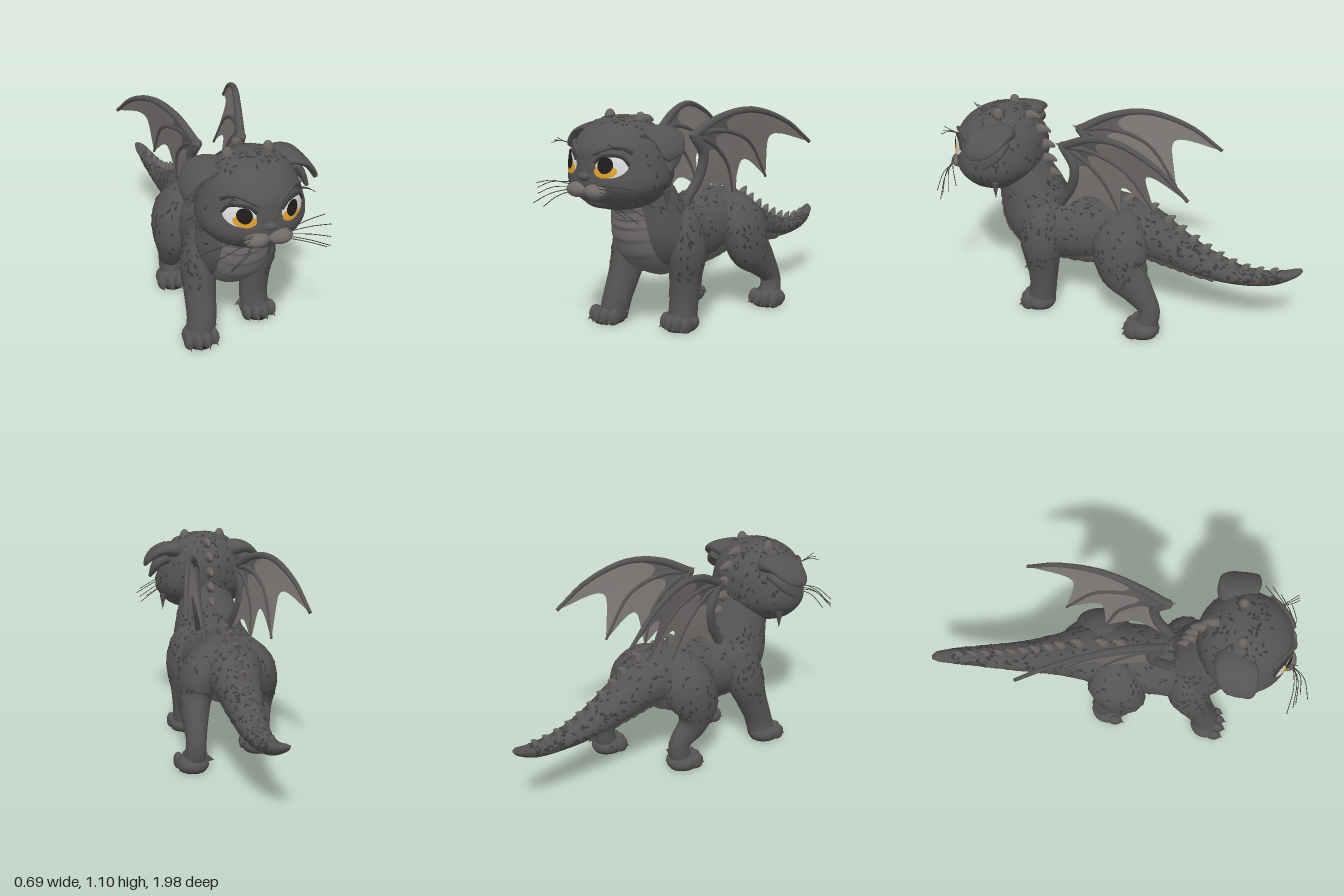
import * as THREE from 'three';
import { mergeGeometries, mergeVertices } from 'three/addons/utils/BufferGeometryUtils.js';

const V = (x, y, z) => new THREE.Vector3(x, y, z);
const PI = Math.PI;
const MID = -.011; // the trunk, head and wings sit slightly right of centre

const paint = (name, color, side = THREE.FrontSide) => {
  const m = new THREE.MeshStandardMaterial({ color, side });
  m.name = name;
  return m;
};

// Smooth surface from a rule f(u, v), u and v in 0..1
function grid(f, nu, nv) {
  const pos = [], idx = [];
  for (let i = 0; i <= nu; i++) for (let j = 0; j <= nv; j++) pos.push(...f(i / nu, j / nv, i).toArray());
  for (let i = 0; i < nu; i++) for (let j = 0; j < nv; j++) {
    const a = i * (nv + 1) + j, c = a + nv + 1;
    idx.push(a, a + 1, c, a + 1, c + 1, c);
  }
  let g = new THREE.BufferGeometry();
  g.setAttribute('position', new THREE.Float32BufferAttribute(pos, 3));
  g.setIndex(idx);
  g = mergeVertices(g, 1e-5);
  g.computeVertexNormals();
  return g;
}

// Elliptical sweep through points [x, y, z, sideRadius, otherRadius]
function sweep(pts, side = V(1, 0, 0)) {
  const path = new THREE.CatmullRomCurve3(pts.map(p => V(p[0], p[1], p[2])));
  const radii = new THREE.CatmullRomCurve3(pts.map(p => V(p[3], p[4], 0)));
  const at = (t, ang, off = 0, k = 1) => {
    const T = path.getTangent(t), r = radii.getPoint(t);
    const S = side.clone().addScaledVector(T, -side.dot(T)).normalize();
    const N = T.clone().cross(S);
    return path.getPoint(t).addScaledVector(S, k * (r.x + off) * Math.cos(ang))
      .addScaledVector(N, k * (r.y + off) * Math.sin(ang));
  };
  const geometry = (n = 24, seg = 18) => grid((u, v, i) => at(THREE.MathUtils.clamp((i - 1) / (n - 2), 0, 1),
    (v % 1) * 2 * PI, 0, i === 0 || i === n ? 0 : 1), n, seg);
  return { path, at, geometry };
}

// Head outline by height: [y, halfWidth, frontZ, backZ]
const HEAD = [[.635, .0, .66, .62], [.645, .1, .74, .57], [.68, .19, .81, .49], [.75, .252, .865, .42], [.80, .262, .872, .395],
  [.86, .25, .865, .39], [.93, .226, .862, .395], [1.0, .19, .815, .435], [1.045, .145, .75, .49], [1.072, .07, .67, .55], [1.076, 0, .62, .6]];
const headA = new THREE.CatmullRomCurve3(HEAD.map(r => V(r[0], r[1], 0)));
const headB = new THREE.CatmullRomCurve3(HEAD.map(r => V(r[2], r[3], 0)));
function headAt(t, ang) {
  const a = headA.getPoint(t), b = headB.getPoint(t);
  return V(a.y * Math.cos(ang), a.x, (b.x + b.y) / 2 - (b.x - b.y) / 2 * Math.sin(ang));
}
function solve(f) { // root of a rising function on 0..1
  let lo = 0, hi = 1;
  for (let i = 0; i < 30; i++) { const m = (lo + hi) / 2; if (f(m) < 0) lo = m; else hi = m; }
  return lo;
}
function faceZ(x, y) {
  const t = solve(k => headA.getPoint(k).x - y);
  const w = headA.getPoint(t).y, b = headB.getPoint(t);
  return (b.x + b.y) / 2 + (b.x - b.y) / 2 * Math.sqrt(Math.max(0, 1 - (x / w) ** 2));
}

export function createModel() {
  const hide = paint('charcoal hide', 0x565453), dark = paint('dark scale', 0x3c3b3a);
  const belly = paint('belly grey', 0x6e6b69), web = paint('wing membrane', 0x7a7674, THREE.DoubleSide);
  const webDark = paint('inner wing membrane', 0x5c5958, THREE.DoubleSide);
  const horn = paint('horn grey', 0x676462), white = paint('eye white', 0xdadada);
  const gold = paint('iris gold', 0xe0a02c), black = paint('pupil black', 0x1e1c1c);
  const root = new THREE.Group();
  root.name = 'wingedCat';
  const add = (geo, mat, name, parent = root) => {
    const m = new THREE.Mesh(geo, mat);
    m.name = name;
    parent.add(m);
    return m;
  };
  const group = (name, x = 0) => { const g = new THREE.Group(); g.name = name; g.position.x = x; root.add(g); return g; };
  const cone = (p, dir, r, h, mat, name, parent) => {
    const m = add(new THREE.ConeGeometry(r, h, 8).translate(0, h / 2, 0), mat, name, parent);
    m.position.copy(p);
    m.quaternion.setFromUnitVectors(V(0, 1, 0), dir.normalize());
  };
  const ball = (x, y, z, a, b, c, mat, name, parent) => {
    const g = new THREE.SphereGeometry(1, 20, 14).scale(a, b, c).translate(x, y, z), p = g.attributes.position;
    for (let i = 0; i < p.count; i++) p.setY(i, Math.max(.002, p.getY(i)));
    add(g, mat, name, parent);
  };
  const strand = (pts, r, mat, name, parent) => add(new THREE.TubeGeometry(
    new THREE.CatmullRomCurve3(pts), 10, r, 5), mat, name, parent);

  // Neck, trunk and tail in one sweep
  const body = sweep([[MID, .80, .53, .12, .13], [MID, .64, .475, .172, .165], [MID, .48, .40, .205, .2], [MID, .44, .22, .185, .18],
    [MID, .46, .02, .178, .185], [MID, .48, -.15, .155, .14], [MID, .415, -.32, .112, .105], [MID, .35, -.5, .085, .075],
    [-.014, .315, -.7, .064, .045], [-.03, .325, -.86, .046, .035], [-.055, .365, -.97, .03, .02], [-.068, .38, -.998, .012, .008]]);
  add(body.geometry(80, 32), hide, 'body');
  const bodyT = z => solve(t => z - body.path.getPoint(t).z);

  // Overlapping belly plates from throat to tail, wider under the trunk
  add(grid((u, v) => {
    const s = (u * 26) % 1, w = v * 2 - 1, span = .7 + .4 * THREE.MathUtils.smoothstep(u, .25, .5);
    return body.at(.05 + u * .62, PI / 2 + w * span, (.003 + .008 * s) * (1 - w ** 4) + .001);
  }, 156, 14), belly, 'bellyPlates');

  // Blunt spines, bent backwards, down the neck, back and tail
  const spines = group('spines');
  const spineGeo = sweep([[0, -.01, .008, .026, .036], [0, .018, .002, .024, .031], [0, .042, -.012, .016, .018], [0, .058, -.03, .006, .006]]).geometry(10, 10);
  const spine = (p, tilt, k, name) => {
    const m = add(spineGeo, horn, name, spines);
    m.position.copy(p);
    m.rotation.x = tilt;
    m.scale.setScalar(k);
  };
  for (const [y, z] of [[1.03, .47], [.96, .415], [.88, .393], [.80, .385], [.72, .365]])
    spine(V(MID, y, z), -1.05, .95, 'neckSpine');
  for (let i = 0; i < 12; i++) {
    const z = -.02 - i * .077;
    spine(body.at(bodyT(z), -PI / 2, -.004), -.15, 1 - i * .04, 'backSpine');
  }

  // Head
  const head = group('head', MID);
  add(grid((u, v) => headAt(u, (v % 1) * 2 * PI), 40, 40), hide, 'skull', head);
  ball(0, .818, .874, .034, .02, .024, hide, 'nose', head);
  ball(0, .695, .772, .1, .04, .05, hide, 'chin', head);
  const disc = (cx, cy, a, b, off, bulge, mat, name) => add(grid((u, v) => {
    const q = -v * 2 * PI, x = cx + a * u * Math.cos(q), y = cy + b * u * Math.sin(q);
    return V(x, y, faceZ(x, y) + off + bulge * (1 - u * u));
  }, 6, 28), mat, name, head);
  for (const s of [1, -1]) {
    ball(s * .057, .75, .86, .061, .037, .045, belly, 'muzzle', head);
    ball(s * .024, .85, .848, .033, .06, .02, hide, 'noseBridge', head);
    disc(s * .127, .868, .066, .049, .003, .006, white, 'eyeWhite');
    disc(s * .112, .849, .05, .03, .011, .003, gold, 'iris');
    disc(s * .115, .878, .033, .038, .017, .001, black, 'pupil');
    // Lid and brow follow the face
    const onFace = ([x, y]) => V(s * x, y, faceZ(x, y) + .006);
    strand([[.06, .885], [.085, .912], [.128, .922], [.172, .911], [.196, .875]].map(onFace), .008, dark, 'eyelid', head);
    strand([[.045, .925], [.085, .945], [.145, .962], [.195, .94]].map(onFace), .012, hide, 'brow', head);
    strand([[.065, .925], [.105, .948], [.155, .952], [.195, .925]].map(onFace), .005, dark, 'browLine', head);
    ball(s * .1, 1.055, .6, .027, .044, .028, horn, 'hornNub', head);
    cone(V(s * .232, .74, .57), V(s * .05, -1, 0), .02, .09, hide, 'cheekTuft', head);
    for (let i = 0; i < 3; i++)
      strand([V(s * .15, .945, faceZ(.15, .945)), V(s * (.16 + .012 * i), .965, .85), V(s * (.17 + .02 * i), .985 - .015 * i, .88)], .0018, dark, 'browHair', head);
    // Ear folded outward, with its lower rear lobe
    add(sweep([[s * .12, .98, .55, .06, .05], [s * .18, .998, .56, .09, .042], [s * .235, .993, .585, .104, .03],
      [s * .285, .962, .615, .088, .02], [s * .312, .925, .645, .05, .013], [s * .32, .9, .66, .02, .008]], V(0, 0, 1)).geometry(24, 18), hide, 'ear', head);
    add(sweep([[s * .2, .965, .55, .07, .04], [s * .25, .935, .565, .07, .03], [s * .28, .89, .59, .05, .02],
      [s * .298, .838, .62, .012, .008]], V(0, 0, 1)).geometry(16, 14), hide, 'earLobe', head);
  }

  // Whiskers fan out forward on the right, backward on the left
  const tips = [[.34, .74, .74], [.355, .705, .78], [.33, .67, .83], [.32, .635, .85], [.28, .66, .89],
    [-.335, .725, .865], [-.31, .755, .89], [-.28, .71, .91], [-.24, .68, .975], [-.21, .66, .94]];
  tips.forEach(([x, y, z], i) => {
    const s = Math.sign(x), y0 = .785 - (i % 5) * .011;
    strand([V(s * .085, y0, .88), V(x * .6, (y0 + y) / 2 + .018, (z + .9) / 2 + .008), V(x, y, z)], .002, dark, 'whisker', head);
  });

  // Small raised scales scattered over the surfaces
  let seed = 7;
  const rnd = () => (seed = (seed * 16807) % 2147483647) / 2147483647;
  const flecks = [];
  const scatter = (count, at, t0, t1, q0, q1) => {
    for (let i = 0; i < count; i++) {
      const t = t0 + rnd() * (t1 - t0), q = q0 + rnd() * (q1 - q0), p = at(t, q);
      const a = at(t + .01, q).sub(p).normalize(), n = at(t, q + .05).sub(p).cross(a).normalize();
      const g = new THREE.OctahedronGeometry(1).scale(.005 + rnd() * .004, .003, .01 + rnd() * .011).rotateY(rnd() * 2 - 1);
      flecks.push(g.applyMatrix4(new THREE.Matrix4().makeBasis(n.clone().cross(a), n, a).setPosition(p)));
    }
  };
  const skullAt = (t, q) => headAt(t, q).add(V(MID, 0, 0));
  scatter(420, body.at, .08, .86, PI * .87, PI * 2.13);
  scatter(130, skullAt, .25, .9, -.1 * PI, 1.1 * PI);
  scatter(30, skullAt, .76, .94, 1.1 * PI, 1.9 * PI);

  // Legs: sweep points, then paw centre
  const legs = [
    ['leftFrontLeg', [[.06, .61, .36, .03, .04], [.125, .52, .355, .085, .1], [.155, .40, .355, .09, .112], [.145, .25, .352, .077, .085], [.138, .12, .358, .073, .072], [.14, .03, .37, .073, .073]], .145, .385],
    ['rightFrontLeg', [[-.07, .61, .38, .03, .04], [-.135, .52, .375, .085, .1], [-.175, .40, .39, .09, .112], [-.187, .25, .44, .08, .086], [-.195, .12, .49, .074, .073], [-.21, .03, .505, .073, .073]], -.22, .52],
    ['leftHindLeg', [[.04, .61, -.06, .03, .05], [.1, .54, -.075, .085, .12], [.155, .45, -.09, .1, .148], [.18, .34, -.11, .09, .132], [.195, .24, -.2, .066, .088], [.205, .14, -.27, .052, .056], [.215, .03, -.25, .058, .06]], .22, -.235],
    ['rightHindLeg', [[-.055, .61, -.04, .03, .05], [-.115, .54, -.02, .085, .12], [-.175, .45, 0, .103, .148], [-.2, .34, .03, .09, .132], [-.195, .24, .01, .068, .088], [-.18, .14, -.07, .053, .056], [-.175, .03, -.05, .058, .06]], -.175, -.035],
  ];
  for (const [name, pts, px, pz] of legs) {
    const leg = group(name), limb = sweep(pts), out = px > 0 ? 0 : PI;
    add(limb.geometry(28, 20), hide, 'limb', leg);
    scatter(45, limb.at, .15, .6, out - 1.3, out + 1.3);
    ball(px, .033, pz - .01, .084, .055, .085, hide, 'paw', leg);
    add(new THREE.CylinderGeometry(.07, .07, .003, 20).scale(1, 1, 1.15).translate(px, .0015, pz), black, 'sole', leg);
    cone(V(px + Math.sign(px) * -.075, .06, pz - .03), V(Math.sign(px) * -1, -.3, 0), .018, .035, hide, 'dewclaw', leg);
    for (let i = 0; i < 4; i++) {
      const d = i - 1.5, x = px + d * .044, z = pz + .06 - Math.abs(d) * .016;
      ball(x, .036, z, .025, .045, .04, hide, 'toe', leg);
      cone(V(x, .032, z + .025), V(d * .1, -.8, 1), .012, .036, hide, 'claw', leg);
    }
  }
  add(mergeGeometries(flecks), dark, 'scales');

  // Wings: an arm and three fingers with scalloped webbing
  for (const s of [1, -1]) {
    const wing = group(s > 0 ? 'leftWing' : 'rightWing', MID);
    const wrist = [.115, .95, .235];
    const rays = [
      [wrist, [.16, 1.03, .08], [.215, 1.055, -.1], [.27, .98, -.32], [.305, .855, -.485]],
      [wrist, [.15, .96, .07], [.175, .89, -.12], [.17, .68, -.28]],
      [wrist, [.13, .90, .12], [.135, .78, .0], [.115, .61, -.07]],
      [wrist, [.125, .85, .175], [.11, .73, .195], [.09, .64, .25], [.08, .57, .29]],
    ].map(r => r.map(p => V(s * p[0], p[1], p[2])));
    const curves = rays.map(r => new THREE.CatmullRomCurve3(r));
    rays.forEach((r, i) => {
      const w = [.023, .016, .016, .026][i];
      add(sweep(r.map((p, k) => {
        const q = i === 3 ? w : w * (1 - .6 * k / (r.length - 1));
        return [p.x, p.y, p.z, q, q];
      })).geometry(20, 8), hide, i === 3 ? 'wingArm' : 'wingFinger', wing);
    });
    // Each web is darker towards the wrist
    for (let i = 0; i < 3; i++) for (const [t0, t1, mat, name] of [[0, .45, webDark, 'innerMembrane'], [.45, 1, web, 'outerMembrane']])
      add(grid((u, v) => {
        const t = (t0 + u * (t1 - t0)) * (1 - .24 * Math.sin(PI * v));
        return curves[i].getPoint(t).lerp(curves[i + 1].getPoint(t), v);
      }, 10, 10), mat, name, wing);
    ball(s * wrist[0], wrist[1], wrist[2], .026, .024, .026, hide, 'wingWrist', wing);
    cone(V(s * .115, .955, .24), V(s * .1, .1, 1), .014, .04, horn, 'wingClaw', wing);
  }
  return root;
}
